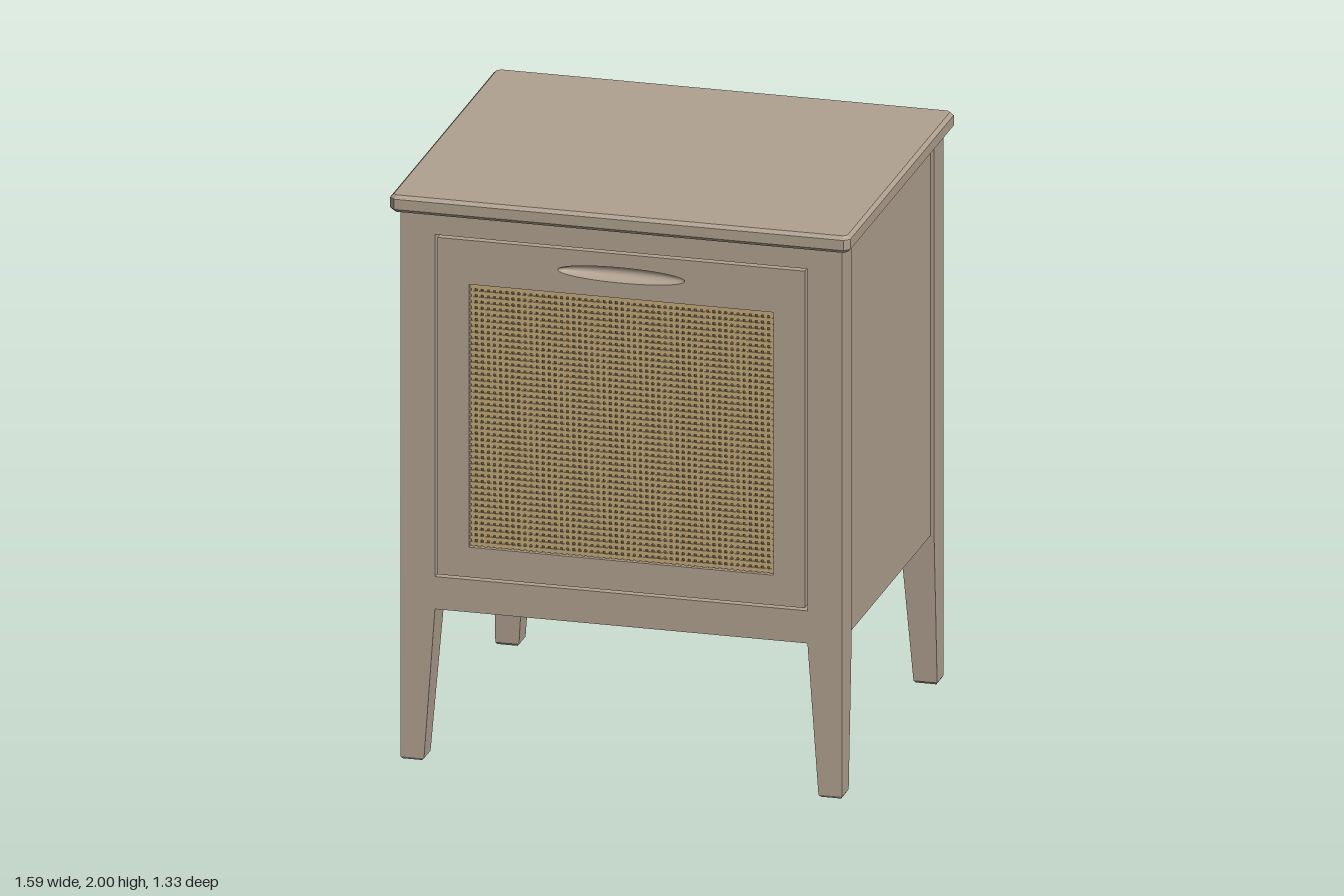
import * as THREE from 'three';

const wood = new THREE.MeshStandardMaterial({ color: 0xb0a190, side: THREE.DoubleSide });
wood.name = 'greige wood';
const cane = new THREE.MeshStandardMaterial({ color: 0xc2a878 });
cane.name = 'natural cane';
const shade = new THREE.MeshStandardMaterial({ color: 0x75664f });
shade.name = 'dark cane backing';

const X = 0.765, Z = 0.635, LEG = 0.12, TOP = 1.94, APRON = 0.54;

function add(parent, name, geometry, material = wood) {
  const mesh = new THREE.Mesh(geometry, material);
  mesh.name = name;
  parent.add(mesh);
  return mesh;
}

// Box given by its limits on each axis
function block(x0, x1, y0, y1, z0, z1) {
  return new THREE.BoxGeometry(x1 - x0, y1 - y0, z1 - z0)
    .translate((x0 + x1) / 2, (y0 + y1) / 2, (z0 + z1) / 2);
}

function rectPath(path, x0, x1, y0, y1) {
  path.moveTo(x0, y0);
  path.lineTo(x1, y0);
  path.lineTo(x1, y1);
  path.lineTo(x0, y1);
  path.closePath();
  return path;
}

// Corner post that tapers on its two inner faces below the apron
function legGeometry(sx, sz) {
  const rows = [ // y, inset of outer faces, inset of inner faces
    [0, 0.005, LEG - 0.045], [0.008, 0, LEG - 0.038], [APRON, 0, LEG], [TOP, 0, LEG],
  ];
  const g = new THREE.BoxGeometry(1, 3, 1, 1, 3, 1).toNonIndexed();
  const p = g.attributes.position;
  for (let i = 0; i < p.count; i++) {
    const [y, outer, inner] = rows[Math.round(p.getY(i) + 1.5)];
    const dx = Math.sign(p.getX(i)) === sx ? outer : inner;
    const dz = Math.sign(p.getZ(i)) === sz ? outer : inner;
    p.setXYZ(i, sx * (X - dx), y, sz * (Z - dz));
  }
  g.computeVertexNormals();
  return g;
}

// Chamfered slab
function topGeometry() {
  const b = 0.012, c = 0.012, x = 0.797 - b, z = 0.665 - b;
  const s = new THREE.Shape([
    [x - c, -z], [x, -z + c], [x, z - c], [x - c, z],
    [-x + c, z], [-x, z - c], [-x, -z + c], [-x + c, -z],
  ].map(([a, d]) => new THREE.Vector2(a, d)));
  const g = new THREE.ExtrudeGeometry(s, {
    depth: 0.06 - 2 * b, bevelEnabled: true, bevelThickness: b, bevelSize: b, bevelSegments: 1,
  });
  return g.rotateX(-Math.PI / 2).translate(0, TOP + b, 0);
}

export function createModel() {
  const model = new THREE.Group();
  model.name = 'nightstand';

  add(model, 'tableTop', topGeometry());

  // Body with panels set slightly back from the posts
  add(model, 'carcass', block(-X + 0.012, X - 0.012, APRON + 0.002, TOP, -Z + 0.012, 0.56));
  for (const sx of [-1, 1]) {
    for (const sz of [-1, 1]) {
      add(model, `${sz > 0 ? 'front' : 'back'}${sx > 0 ? 'Left' : 'Right'}Leg`, legGeometry(sx, sz));
    }
  }

  // Front rails, flush with the posts
  const inner = X - LEG;
  add(model, 'topRail', block(-inner, inner, 1.865, TOP, 0.55, Z));
  add(model, 'bottomRail', block(-inner, inner, APRON, 0.655, 0.55, Z));

  // Door with a cane window and a finger-pull opening
  const door = new THREE.Group();
  door.name = 'door';
  model.add(door);
  const cx = 0.527, cy0 = 0.77, cy1 = 1.7;
  const pull = { y: 1.781, rx: 0.22, ry: 0.027 };
  const face = rectPath(new THREE.Shape(), -0.636, 0.636, 0.664, 1.856);
  face.holes.push(rectPath(new THREE.Path(), -cx, cx, cy0, cy1));
  face.holes.push(new THREE.Path().absellipse(0, pull.y, pull.rx, pull.ry, 0, Math.PI * 2, true));
  add(door, 'doorFrame', new THREE.ExtrudeGeometry(face, {
    depth: 0.045, bevelEnabled: false, curveSegments: 24,
  }).translate(0, 0, Z - 0.045));

  // Hollow scoop behind the pull opening
  const scoop = new THREE.SphereGeometry(1, 48, 16, 0, Math.PI)
    .rotateY(Math.PI).scale(pull.rx, pull.ry, 0.04);
  add(door, 'fingerPull', scoop).position.set(0, pull.y, Z);

  // Woven cane
  add(door, 'caneBacking', block(-cx, cx, cy0, cy1, 0.6, 0.606), shade);
  const weave = new THREE.Group();
  weave.name = 'caneWeave';
  door.add(weave);
  const nx = 50, ny = 44, w = 0.0066;
  for (let i = 0; i < nx; i++) {
    const x = -cx + (i + 0.5) * 2 * cx / nx;
    add(weave, 'caneUpright', block(x - w, x + w, cy0, cy1, 0.617, 0.621), cane);
  }
  for (let j = 0; j < ny; j++) {
    const y = cy0 + (j + 0.5) * (cy1 - cy0) / ny;
    add(weave, 'caneCrosspiece', block(-cx, cx, y - w, y + w, 0.62, 0.624), cane);
  }

  return model;
}
